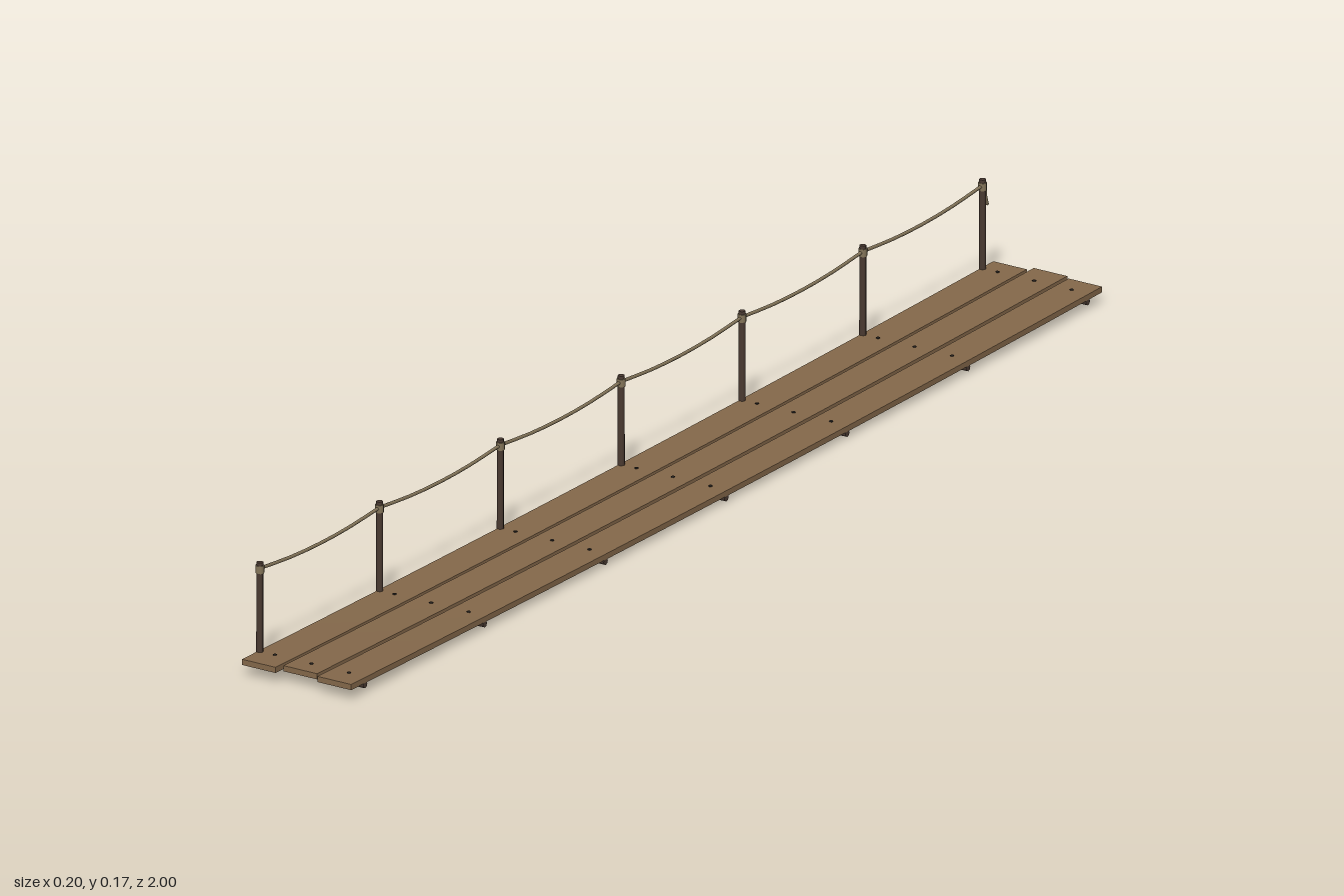
import * as THREE from 'three';

const mat = (name, color) => new THREE.MeshStandardMaterial({ name, color });

export function createModel() {
  const plankWood = mat('plankWood', 0x84684a);
  const darkWood = mat('darkWood', 0x4a3a31);
  const ropeFibre = mat('ropeFibre', 0x85765a);
  const iron = mat('iron', 0x2b2622);

  const bridge = new THREE.Group();
  bridge.name = 'plankBridge';
  const add = (name, geometry, material, x = 0, y = 0, z = 0) => {
    const mesh = new THREE.Mesh(geometry, material);
    mesh.name = name;
    mesh.position.set(x, y, z);
    bridge.add(mesh);
    return mesh;
  };

  // The whole walkway hangs a little lower in the middle
  const sag = (z) => 0.008 * z * z;
  const stations = [-0.957, -0.64, -0.32, 0, 0.32, 0.64, 0.957];
  const postX = -0.0905;

  // Three long planks, each bent along the sag
  const planks = [
    { x: -0.0635, back: -0.99, front: 1.0 },
    { x: 0.002, back: -1.0, front: 0.987 },
    { x: 0.069, back: -0.993, front: 0.996 },
  ];
  for (const { x, back, front } of planks) {
    const g = new THREE.BoxGeometry(0.06, 0.009, front - back, 1, 1, 12);
    g.translate(x, 0.0135, (front + back) / 2);
    const p = g.attributes.position;
    for (let i = 0; i < p.count; i++) p.setY(i, p.getY(i) + sag(p.getZ(i)));
    g.computeVertexNormals();
    add('plank', g, plankWood);
  }

  // Cross logs, nails, posts and rope bindings at every station
  const logGeo = new THREE.CylinderGeometry(0.0055, 0.0055, 0.191, 8).rotateZ(Math.PI / 2);
  const postGeo = new THREE.CylinderGeometry(0.0052, 0.0055, 0.157, 8);
  const nailGeo = new THREE.CylinderGeometry(0.003, 0.003, 0.002, 6);
  const bindingGeo = new THREE.CylinderGeometry(0.0068, 0.0068, 0.012, 8);
  for (const z of stations) {
    const s = sag(z);
    add('crossLog', logGeo, darkWood, 0.0025, 0.0055 + s, z);
    add('post', postGeo, darkWood, postX, 0.0815 + s, z);
    add('ropeBinding', bindingGeo, ropeFibre, postX, 0.149 + s, z);
    for (const { x } of planks) add('nail', nailGeo, iron, x, 0.0183 + s, z);
  }

  // Hand rope drooping between neighbouring posts
  for (let i = 0; i < stations.length - 1; i++) {
    const points = [];
    for (let k = 0; k <= 4; k++) {
      const t = k / 4;
      const z = THREE.MathUtils.lerp(stations[i], stations[i + 1], t);
      const y = 0.15 + THREE.MathUtils.lerp(sag(stations[i]), sag(stations[i + 1]), t);
      points.push(new THREE.Vector3(postX, y - 0.036 * t * (1 - t), z));
    }
    const curve = new THREE.CatmullRomCurve3(points);
    add('handRope', new THREE.TubeGeometry(curve, 8, 0.0026, 6), ropeFibre);
  }

  // Loose rope end hanging from the last post
  const tail = new THREE.CatmullRomCurve3([
    new THREE.Vector3(postX, 0.157, -0.957),
    new THREE.Vector3(-0.093, 0.153, -0.968),
    new THREE.Vector3(-0.096, 0.137, -0.973),
    new THREE.Vector3(-0.098, 0.119, -0.981),
  ]);
  const tailMesh = add('ropeTail', new THREE.TubeGeometry(tail, 8, 0.0024, 6), ropeFibre);
  const tip = add('ropeTip', new THREE.SphereGeometry(0.0025, 6, 4), ropeFibre, -0.098, 0.119, -0.981);
  tailMesh.add(tip);

  return bridge;
}
